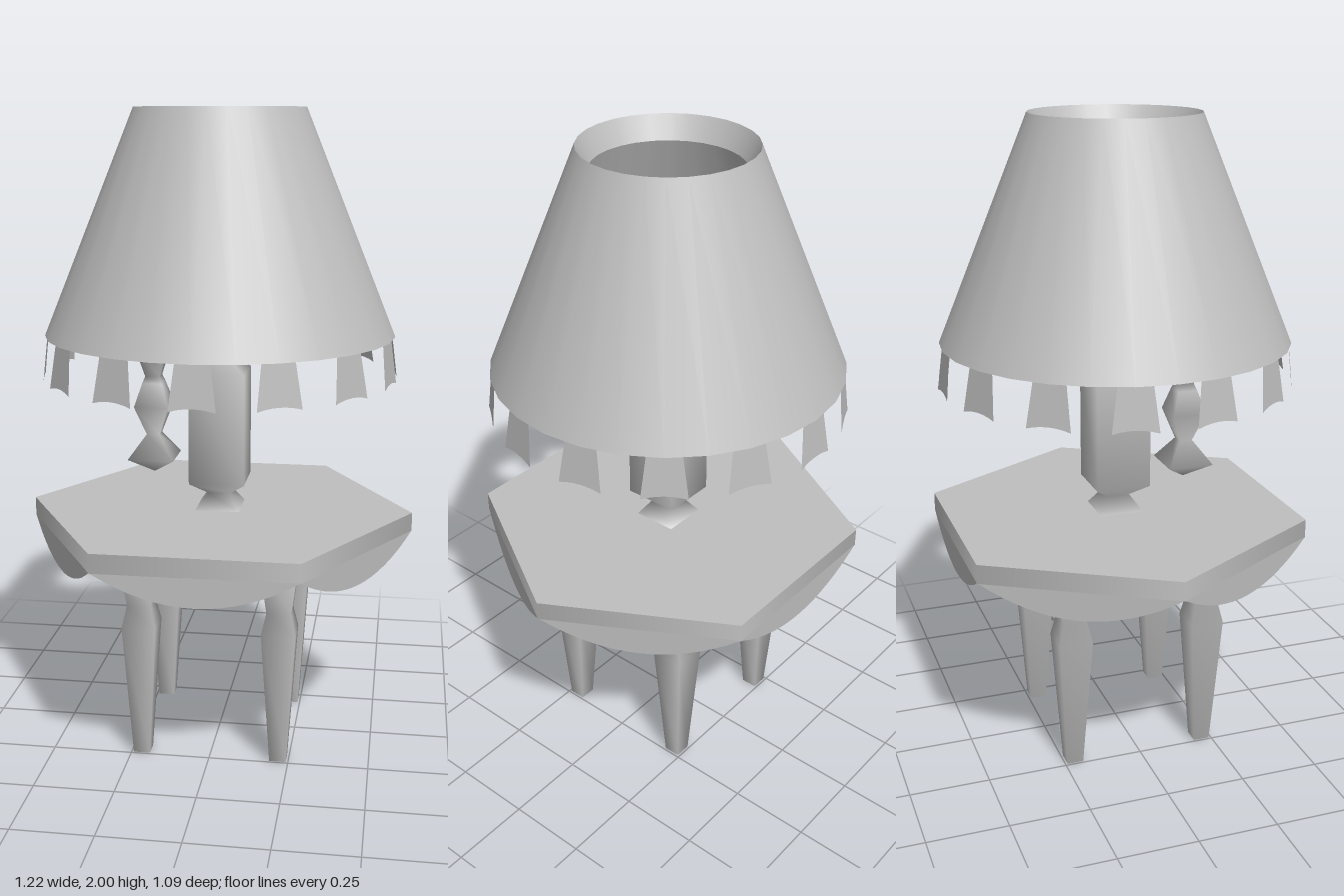
import * as THREE from 'three';

export function createModel() {
  const model = new THREE.Group();
  const grey = new THREE.MeshStandardMaterial({ color: 0xbfbfbf, side: THREE.DoubleSide });
  grey.name = 'plain grey';

  const add = (name, geometry, parent = model) => {
    const mesh = new THREE.Mesh(geometry, grey);
    mesh.name = name;
    parent.add(mesh);
    return mesh;
  };
  const group = (name) => {
    const g = new THREE.Group();
    g.name = name;
    model.add(g);
    return g;
  };
  // Turned part with a square section; profile holds [half width, height]
  const squareTurned = (profile) => new THREE.LatheGeometry(
    profile.map(([h, y]) => new THREE.Vector2(h * Math.SQRT2, y)), 4).rotateY(Math.PI / 4);

  // Hexagonal table top
  const R = 0.61, inner = R * Math.cos(Math.PI / 6);
  add('tableTop', new THREE.CylinderGeometry(R, R, 0.06, 6).rotateY(Math.PI / 6).translate(0, 0.73, 0));

  // Scalloped apron, one panel under each edge
  const apron = group('apron');
  const scallop = new THREE.Shape();
  scallop.moveTo(-R / 2, 0.702);
  scallop.quadraticCurveTo(0, 0.518, R / 2, 0.702);
  for (let i = 0; i < 6; i++) {
    add('apronPanel', new THREE.ShapeGeometry(scallop, 16).translate(0, 0, inner), apron)
      .rotation.y = i * Math.PI / 3;
  }

  // Four turned legs
  const legs = group('legs');
  const legProfile = [[0, 0], [0.026, 0], [0.053, 0.43], [0.038, 0.5], [0.06, 0.668], [0, 0.668]];
  for (const x of [-1, 1]) for (const z of [-1, 1]) {
    add('leg', squareTurned(legProfile), legs).position.set(x * 0.217, 0, z * 0.217);
  }

  // Lamp body with flared foot and pointed top
  add('lampBody', squareTurned([
    [0.07, 0.76], [0.035, 0.81], [0.087, 0.85], [0.087, 1.2], [0, 1.26],
  ]));

  // Conical shade and its inward lip
  const shade = group('lampShade');
  const ring = (pts) => new THREE.LatheGeometry(pts.map(([r, y]) => new THREE.Vector2(r, y)), 28);
  add('shadeCone', ring([[0.54, 1.318], [0.26, 2]]), shade);
  add('shadeLip', ring([[0.26, 2], [0.225, 1.93]]), shade);

  // Fringe tabs hanging from the shade rim
  const fringe = group('fringe');
  const tab = new THREE.Shape();
  tab.moveTo(-0.05, 0);
  tab.lineTo(-0.067, -0.135);
  tab.quadraticCurveTo(0, -0.115, 0.067, -0.135);
  tab.lineTo(0.05, 0);
  for (let i = 0; i < 14; i++) {
    const geometry = new THREE.ShapeGeometry(tab, 6).rotateX(-0.11).translate(0, 1.32, 0.531);
    add('fringeTab', geometry, fringe).rotation.y = i * Math.PI * 2 / 14;
  }

  // Beaded pull
  add('pullCord', squareTurned([
    [0, 0.91], [0.07, 0.96], [0.02, 1.03], [0.052, 1.12], [0.03, 1.19],
    [0.022, 1.21], [0.05, 1.31],
  ])).position.set(-0.18, 0, 0.16);

  return model;
}
